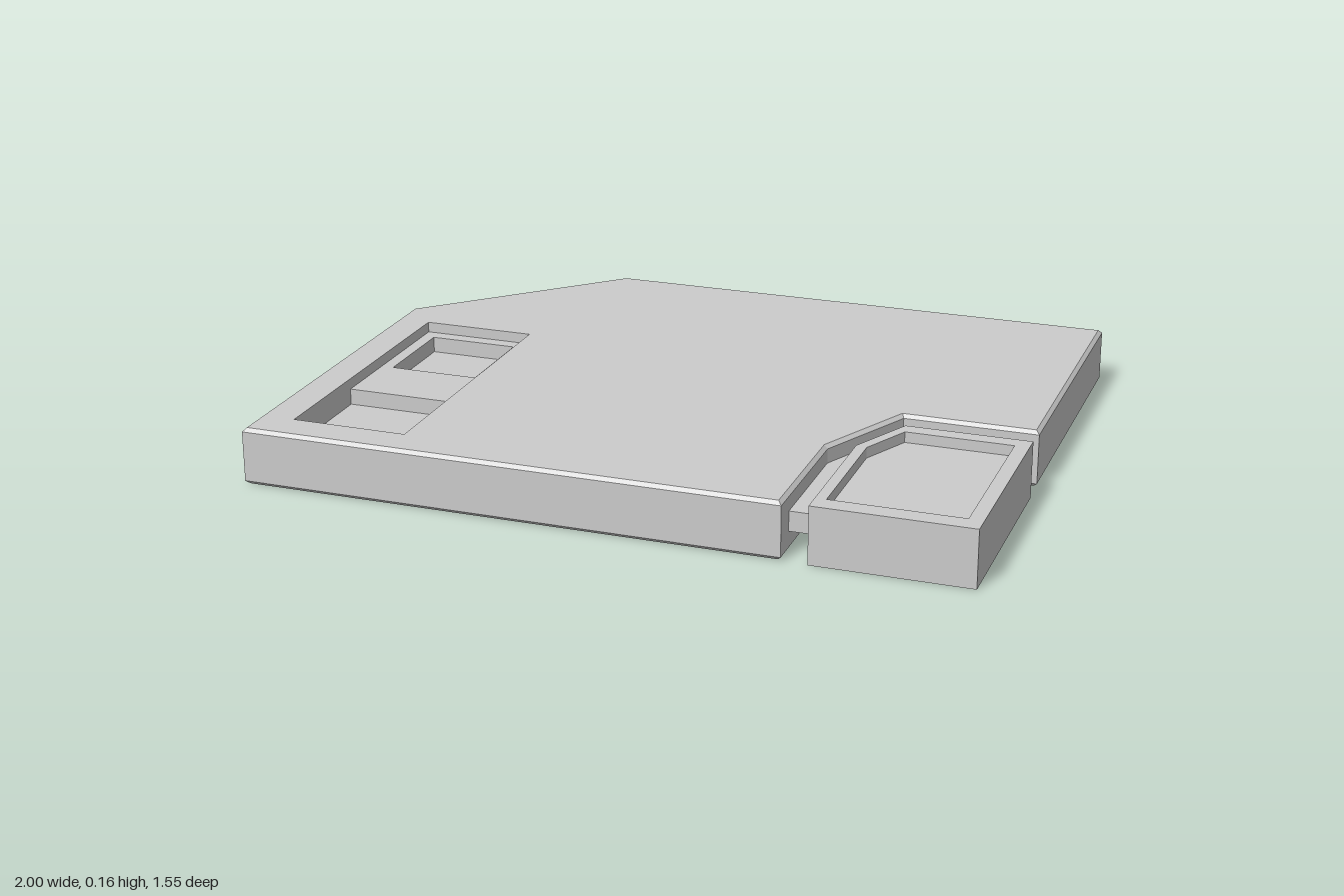
import * as THREE from 'three';
import { mergeGeometries } from 'three/addons/utils/BufferGeometryUtils.js';

// Outlines are lists of [x, z], counter-clockwise seen from above.
const rect = (x0, x1, z0, z1) => [[x0, z1], [x1, z1], [x1, z0], [x0, z0]];

// Mitred inset of an outline.
function inset(loop, t) {
  const n = loop.length;
  const normal = (a, b) => {
    const dx = b[0] - a[0], dz = b[1] - a[1], l = Math.hypot(dx, dz);
    return [-dz / l, dx / l];
  };
  return loop.map((p, i) => {
    const a = normal(loop[(i + n - 1) % n], p), b = normal(p, loop[(i + 1) % n]);
    const k = t / (1 + a[0] * b[0] + a[1] * b[1]);
    return [p[0] - k * (a[0] + b[0]), p[1] - k * (a[1] + b[1])];
  });
}

// Flat-shaded band between a lower and an upper outline.
function wall(low, y0, high, y1) {
  const pos = [];
  low.forEach((p, i) => {
    const j = (i + 1) % low.length;
    const a = [p[0], y0, p[1]], b = [low[j][0], y0, low[j][1]];
    const c = [high[j][0], y1, high[j][1]], d = [high[i][0], y1, high[i][1]];
    pos.push(...a, ...b, ...c, ...a, ...c, ...d);
  });
  const g = new THREE.BufferGeometry();
  g.setAttribute('position', new THREE.Float32BufferAttribute(pos, 3));
  g.computeVertexNormals();
  return g;
}

// Inward-facing wall of a pocket.
function pocket(loop, y0, y1) {
  const r = [...loop].reverse();
  return wall(r, y0, r, y1);
}

// Horizontal face with optional holes, facing up or down.
function cap(loop, y, holes = [], up = true) {
  const s = up ? -1 : 1;
  const pts = (l) => l.map(([x, z]) => new THREE.Vector2(x, s * z));
  const shape = new THREE.Shape(pts(loop));
  holes.forEach((h) => shape.holes.push(new THREE.Path(pts(h))));
  const g = new THREE.ShapeGeometry(shape).toNonIndexed();
  g.deleteAttribute('uv');
  return g.rotateX(s * Math.PI / 2).translate(0, y, 0);
}

export function createModel() {
  const group = new THREE.Group();
  const material = new THREE.MeshStandardMaterial({ color: 0xcccccc, flatShading: true });
  const add = (name, parts) => {
    const mesh = new THREE.Mesh(mergeGeometries(parts), material);
    mesh.name = name;
    group.add(mesh);
  };
  const H = 0.16, B = 0.01;

  // Main slab: chamfered corner, notched corner and bevelled rims
  const outline = [[-1, 0.775], [0.5, 0.775], [0.5, 0.375], [0.63, 0.095],
    [1, 0.095], [1, -0.775], [-0.5, -0.775], [-1, -0.28]];
  const rim = inset(outline, B);
  const opening = rect(-0.9, -0.575, -0.175, 0.67);
  add('mainSlab', [
    cap(rim, 0, [], false),
    wall(rim, 0, outline, B),
    wall(outline, B, outline, H - B),
    wall(outline, H - B, rim, H),
    cap(rim, H, [opening]),
  ]);

  // Stepped recess in the top: a shelf with a square pocket, and a deeper bay
  const shelfY = 0.13, floorY = 0.085;
  const shelf = rect(-0.9, -0.575, -0.175, 0.34);
  const bay = rect(-0.9, -0.575, 0.34, 0.67);
  const square = rect(-0.865, -0.61, -0.135, 0.14);
  add('slabRecess', [
    pocket(opening, shelfY, H),
    cap(shelf, shelfY, [square]),
    pocket(square, floorY, shelfY),
    cap(square, floorY),
    pocket(bay, floorY, shelfY),
    cap(bay, floorY),
  ]);

  // Thin web joining the corner block to the slab
  const web = [[0.49, 0.71], [0.58, 0.71], [0.58, 0.35], [0.66, 0.18],
    [0.95, 0.18], [0.95, 0.085], [0.62, 0.085], [0.49, 0.37]];
  add('connectingWeb', [
    cap(web, 0.055, [], false), wall(web, 0.055, web, 0.11), cap(web, 0.11),
  ]);

  // Corner block with a shallow tray in its top
  const block = [[0.57, 0.775], [1, 0.775], [1, 0.17], [0.655, 0.17], [0.57, 0.35]];
  const tray = [[0.6, 0.72], [0.96, 0.72], [0.96, 0.215], [0.665, 0.215], [0.6, 0.355]];
  add('cornerBlock', [
    cap(block, 0, [], false),
    wall(block, 0, block, H),
    cap(block, H, [tray]),
    pocket(tray, 0.13, H),
    cap(tray, 0.13),
  ]);

  return group;
}
